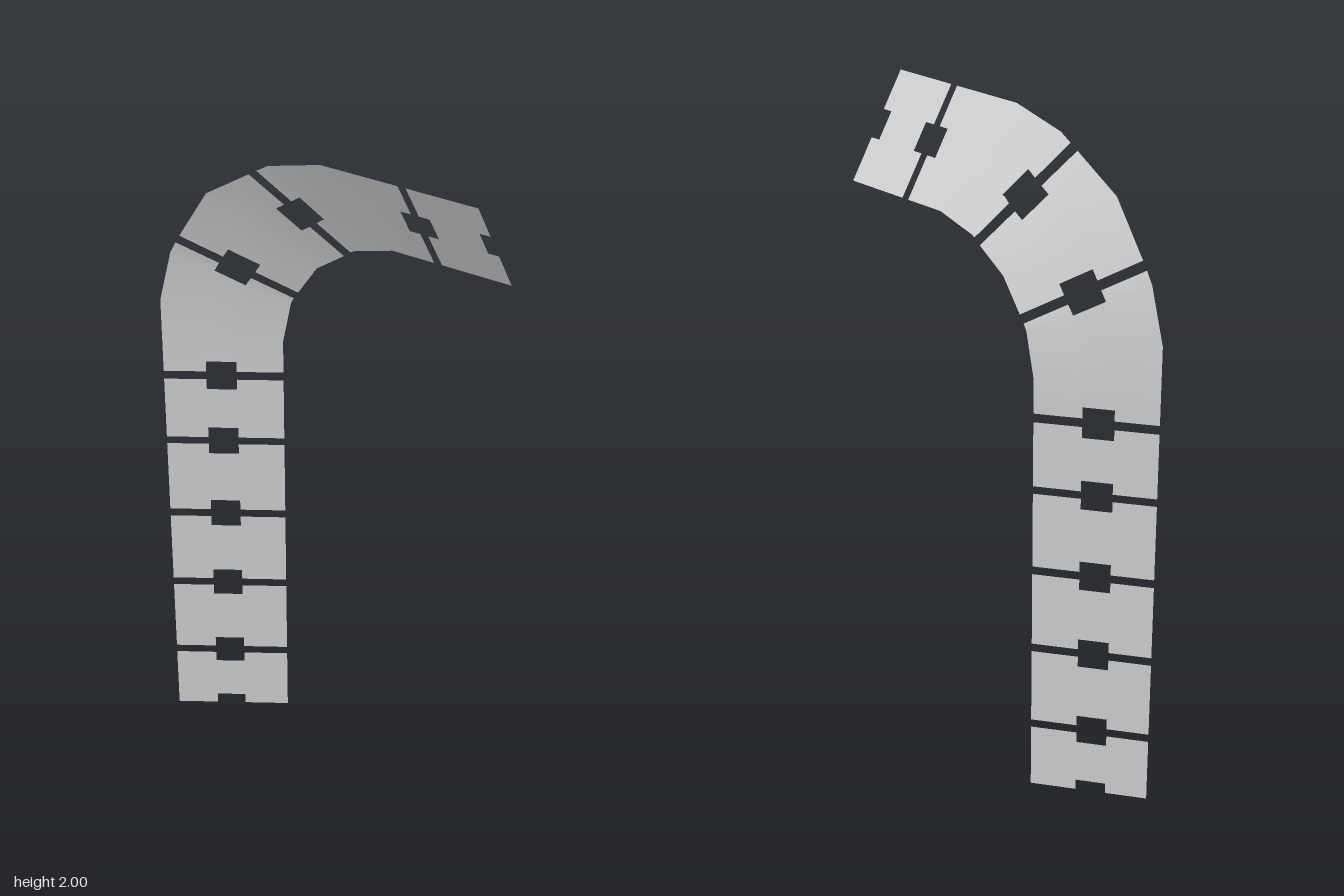
import * as THREE from 'three';
import { mergeVertices } from 'three/addons/utils/BufferGeometryUtils.js';

const HALF_Z = 0.095;          // outer edge at +z, inner edge at -z
const NOTCH = [0.355, 0.61];   // notch position across the band
const BEND_NOTCH = [0.365, 0.635];
const DEPTH = 0.033;

// A station is a straight line across the band: [outerX, outerY, innerX, innerY]
const rise = y => [-0.52, y, -0.225, y];
const run = x => [x, 2, x, 1.71];

const pointOn = ([ox, oy, ix, iy], v) => new THREE.Vector3(
  ox + (ix - ox) * v, oy + (iy - oy) * v, HALF_Z * (1 - 2 * v));

// Pull the start of a path back by d, keeping its number of points
function trimStart(path, d) {
  const out = path.map(p => p.clone());
  for (let i = 0; i < path.length - 1; i++) {
    const len = path[i].distanceTo(path[i + 1]);
    if (len > d) {
      const cut = path[i].clone().lerp(path[i + 1], d / len);
      for (let k = 0; k <= i; k++) out[k].copy(cut);
      break;
    }
    d -= len;
  }
  return out;
}

// Three strips side by side; the middle one is shortened for the notches
function panelGeometry(stations, startNotch, endNotch) {
  const mid = t => {
    const n0 = startNotch || endNotch, n1 = endNotch || startNotch;
    return stations.map((s, i) => {
      const k = i / (stations.length - 1);
      return pointOn(s, n0[t] + (n1[t] - n0[t]) * k);
    });
  };
  const shorten = path => {
    if (startNotch) path = trimStart(path, DEPTH);
    if (endNotch) path = trimStart(path.reverse(), DEPTH).reverse();
    return path;
  };
  const a = mid(0), b = mid(1);
  const strips = [
    [stations.map(s => pointOn(s, 0)), a],
    [shorten([...a]), shorten([...b])],
    [b, stations.map(s => pointOn(s, 1))],
  ];
  const pos = [];
  const tri = (p, q, r) => {
    const area = q.clone().sub(p).cross(r.clone().sub(p)).length();
    if (area > 1e-7) for (const v of [p, q, r]) pos.push(v.x, v.y, v.z);
  };
  for (const [l, r] of strips) {
    for (let i = 0; i < l.length - 1; i++) {
      tri(l[i], r[i], r[i + 1]);
      tri(l[i], r[i + 1], l[i + 1]);
    }
  }
  const raw = new THREE.BufferGeometry();
  raw.setAttribute('position', new THREE.Float32BufferAttribute(pos, 3));
  const geo = mergeVertices(raw, 1e-5);
  geo.computeVertexNormals();
  return geo;
}

export function createModel() {
  const model = new THREE.Group();
  model.name = 'curvedPanelBand';
  const grey = new THREE.MeshStandardMaterial({ color: 0xcccccc, side: THREE.DoubleSide });
  grey.name = 'lightGrey';

  const add = (name, stations, startNotch, endNotch) => {
    const mesh = new THREE.Mesh(panelGeometry(stations, startNotch, endNotch), grey);
    mesh.name = name;
    model.add(mesh);
  };

  // Upright panels
  [[0, 0.2], [0.225, 0.46], [0.485, 0.715], [0.74, 0.972], [0.995, 1.192]]
    .forEach(([y0, y1], i) => add('uprightPanel' + (i + 1), [rise(y0), rise(y1)], NOTCH, NOTCH));

  // Bend panels
  add('lowerBendPanel', [
    rise(1.218),
    [-0.52, 1.45, -0.225, 1.32],
    [-0.475, 1.612, -0.195, 1.455],
    [-0.455, 1.648, -0.185, 1.472],
  ], NOTCH, BEND_NOTCH);
  add('middleBendPanel', [
    [-0.44, 1.672, -0.17, 1.494],
    [-0.34, 1.825, -0.105, 1.588],
    [-0.193, 1.917, -0.013, 1.651],
  ], BEND_NOTCH, BEND_NOTCH);
  add('upperBendPanel', [
    [-0.167, 1.933, 0.008, 1.668],
    [-0.13, 1.956, 0.018, 1.674],
    [0.04, 2, 0.145, 1.71],
    run(0.279),
  ], BEND_NOTCH, NOTCH);

  // Level end panel
  add('endPanel', [run(0.303), run(0.518)], NOTCH, NOTCH);

  return model;
}
